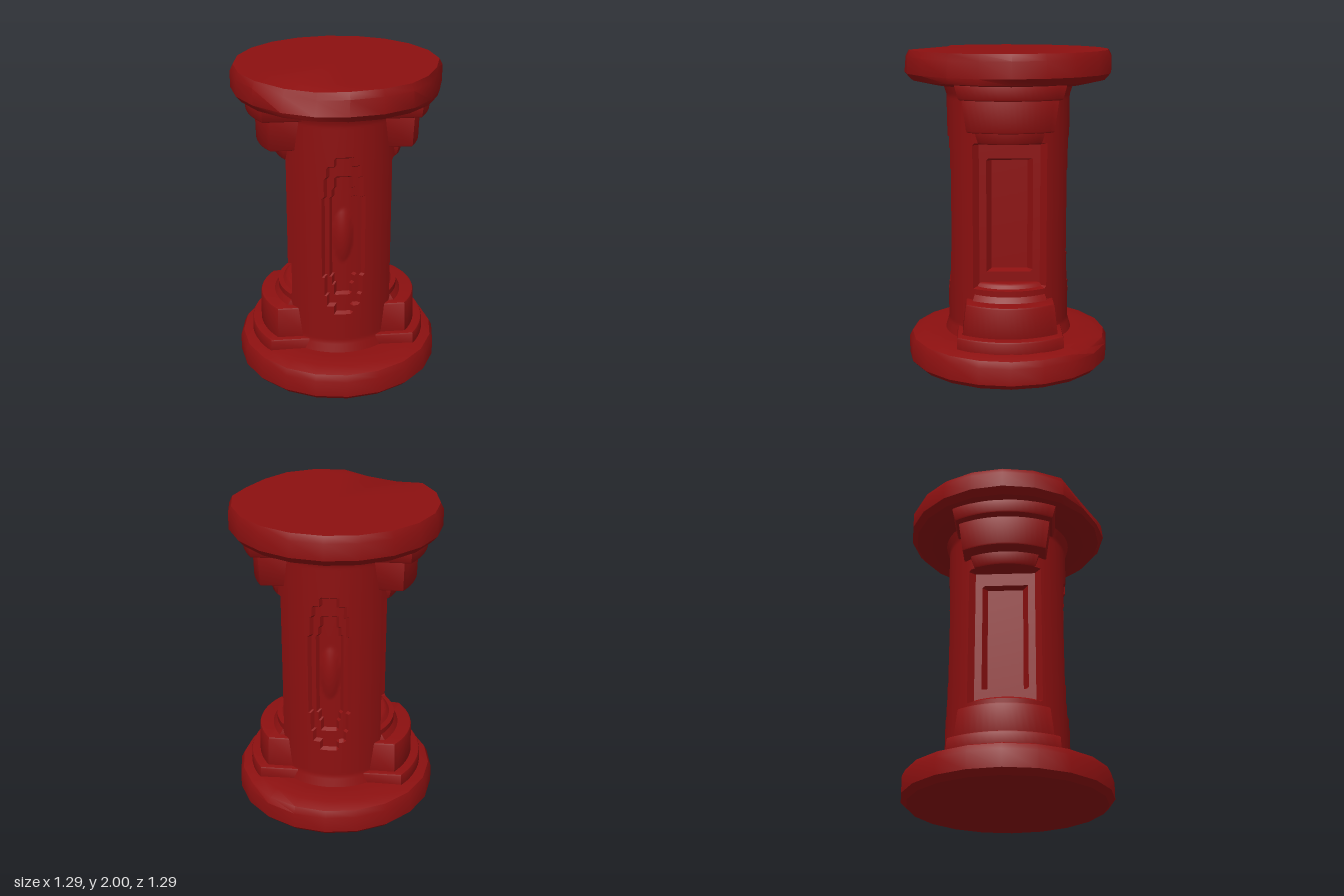
import * as THREE from 'three';
import { toCreasedNormals } from 'three/addons/utils/BufferGeometryUtils.js';

const red = new THREE.MeshStandardMaterial({ color: 0x8c1010 });

function addMesh(parent, name, geo, crease = 0.6) {
  const m = new THREE.Mesh(toCreasedNormals(geo, crease), red);
  m.name = name;
  parent.add(m);
  return m;
}

// Flatten everything beyond a plane, like a chipped edge
function chip(geo, nx, ny, nz, d) {
  const n = new THREE.Vector3(nx, ny, nz);
  d /= n.length();
  n.normalize();
  const p = geo.attributes.position, v = new THREE.Vector3();
  for (let i = 0; i < p.count; i++) {
    v.fromBufferAttribute(p, i);
    const over = v.dot(n) - d;
    if (over > 0) {
      v.addScaledVector(n, -over);
      p.setXYZ(i, v.x, v.y, v.z);
    }
  }
  return geo;
}

// Twenty-sided disc from a radius/height profile
const disc = (profile) => new THREE.LatheGeometry(profile.map(([r, y]) => new THREE.Vector2(r, y)), 20);

// Round shaft whose radius is cut by side panels and stepped ovals
function shaftRadius(a, y) {
  const R = 0.385, dy = Math.abs(y - 1);
  const fromSide = Math.abs(Math.asin(Math.sin(a)));
  const deg = THREE.MathUtils.radToDeg(fromSide);
  let r = R;
  // side panels, a shallow one with a deeper one inside
  if (deg < 34 && dy < 0.45) r = 0.28 / Math.cos(fromSide);
  if (deg < 25 && dy < 0.35) r = 0.24 / Math.cos(fromSide);
  // front and back ovals with stepped outlines
  const x = Math.abs(R * Math.cos(a));
  if (deg > 60) {
    const step = Math.ceil(dy / 0.065) * 0.065;
    const inside = (w, h) => step <= h && x < w * Math.pow(Math.max(0, 1 - (step / h) ** 4), 0.5) + 0.025;
    if (inside(0.1, 0.53)) r = R - 0.025;
    if (inside(0.06, 0.41)) r = R - 0.05;
    // pointed boss at the centre of the oval
    const q = (x / 0.07) ** 2 + (dy / 0.18) ** 2;
    if (q < 1) r = R - 0.05 + 0.025 * (1 - q);
  }
  return r;
}

function shaftGeometry() {
  const segs = 160, rows = 124, y0 = 0.12, y1 = 1.88;
  const pos = [], idx = [];
  for (let j = 0; j <= rows; j++) {
    const y = y0 + (y1 - y0) * j / rows;
    for (let i = 0; i < segs; i++) {
      const a = i / segs * Math.PI * 2;
      const flare = 0.03 * Math.max(0, (Math.abs(y - 1) - 0.72) / 0.1);
      const r = shaftRadius(a, y) + Math.min(flare, 0.03);
      pos.push(r * Math.cos(a), y, r * Math.sin(a));
      if (j < rows) {
        const k = (i + 1) % segs, b = j * segs, t = b + segs;
        idx.push(b + i, t + i, b + k, b + k, t + i, t + k);
      }
    }
  }
  const g = new THREE.BufferGeometry();
  g.setAttribute('position', new THREE.Float32BufferAttribute(pos, 3));
  g.setIndex(idx);
  return g;
}

// Curved block on the +x side; outer radius and half width vary from bottom to top
function curvedBlock(y0, y1, [r0, r1], [w0, w1]) {
  const shape = new THREE.Shape();
  const a = Math.asin(w0 / r0);
  shape.moveTo(0.2, -w0);
  shape.lineTo(r0 * Math.cos(a), -w0);
  shape.absarc(0, 0, r0, -a, a, false);
  shape.lineTo(0.2, w0);
  shape.closePath();
  const b = 0.012;
  const g = new THREE.ExtrudeGeometry(shape, {
    depth: y1 - y0 - 2 * b, curveSegments: 8,
    bevelEnabled: true, bevelThickness: b, bevelSize: b, bevelOffset: -b, bevelSegments: 2,
  });
  g.rotateX(-Math.PI / 2).translate(0, y0 + b, 0);
  const p = g.attributes.position;
  for (let i = 0; i < p.count; i++) {
    const t = (p.getY(i) - y0) / (y1 - y0);
    p.setX(i, p.getX(i) * (1 + (r1 / r0 - 1) * t));
    p.setZ(i, p.getZ(i) * (1 + (w1 / w0 - 1) * t));
  }
  return g;
}

export function createModel() {
  const model = new THREE.Group();
  model.name = 'pedestalColumn';

  // Base disc with a worn back corner
  const base = disc([[0, 0], [0.61, 0], [0.645, 0.035], [0.645, 0.14], [0.625, 0.18],
    [0.56, 0.207], [0.45, 0.21], [0.3, 0.21], [0, 0.21]]);
  chip(base, 0.45, 0.7, -0.55, 0.56);
  addMesh(model, 'base', base);

  // Cap disc with chipped front edges
  const cap = disc([[0, 1.79], [0.38, 1.79], [0.5, 1.795], [0.61, 1.82], [0.645, 1.86],
    [0.645, 1.96], [0.625, 2], [0.5, 2], [0, 2]]);
  chip(cap, -0.433, 0.45, 0.9, 1.45);
  chip(cap, 0.9, 0.15, 0.43, 0.893);
  addMesh(model, 'cap', cap);

  addMesh(model, 'shaft', shaftGeometry(), 0.5);

  // Stepped brackets above and below each side panel
  const steps = [
    ['lowerPlinth', 0.18, 0.28, [0.565, 0.56], [0.33, 0.325]],
    ['lowerBlock', 0.26, 0.475, [0.505, 0.5], [0.295, 0.27]],
    ['lowerLedge', 0.45, 0.58, [0.43, 0.33], [0.24, 0.19]],
    ['upperLedge', 1.45, 1.55, [0.39, 0.41], [0.19, 0.22]],
    ['upperBlock', 1.53, 1.75, [0.5, 0.505], [0.26, 0.29]],
    ['upperPlinth', 1.725, 1.82, [0.56, 0.565], [0.305, 0.33]],
  ];
  for (const side of ['left', 'right']) {
    const bracket = new THREE.Group();
    bracket.name = side + 'Brackets';
    for (const [name, ...dims] of steps) addMesh(bracket, name, curvedBlock(...dims));
    if (side === 'right') bracket.rotation.y = Math.PI;
    model.add(bracket);
  }
  return model;
}
